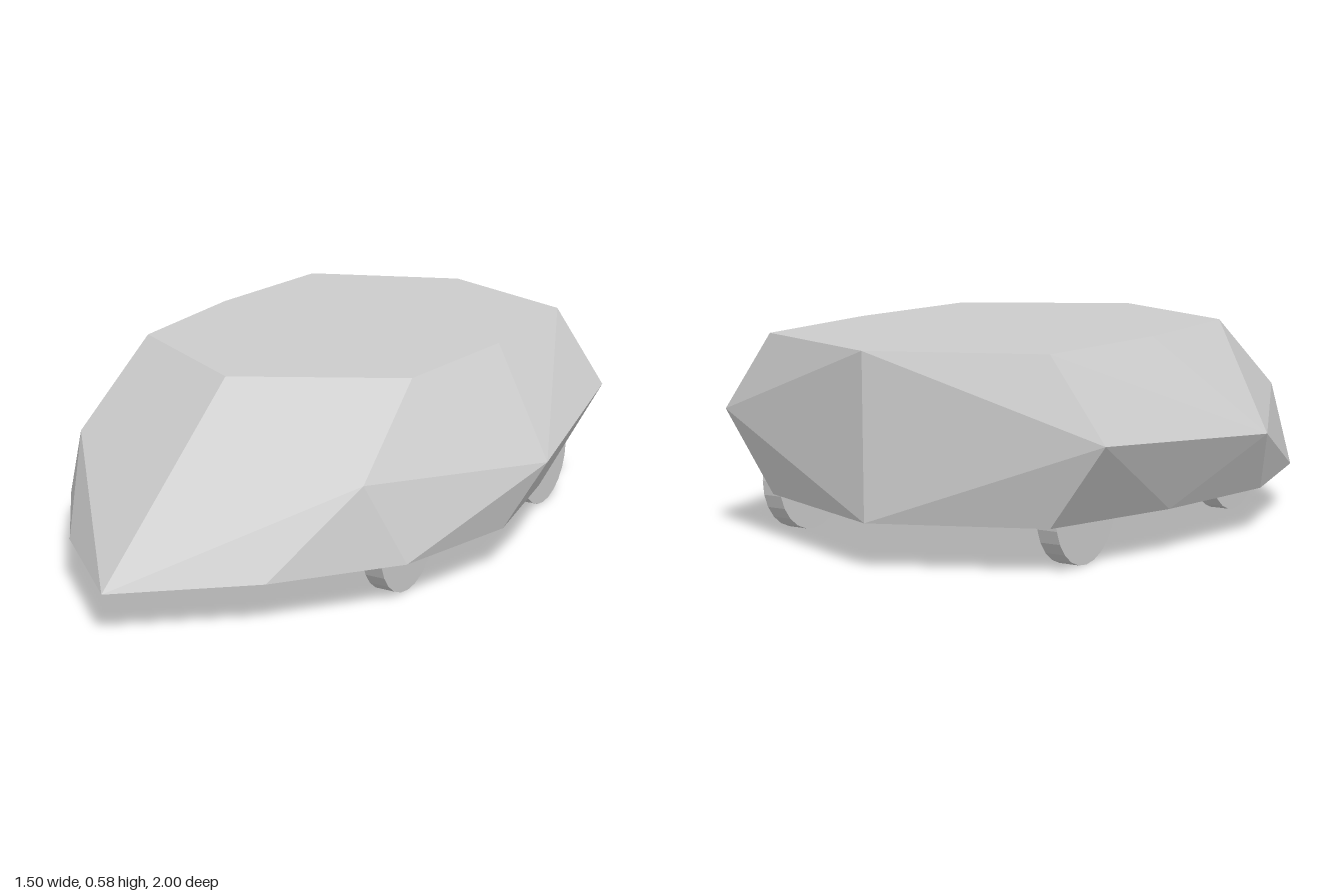
import * as THREE from 'three';
import { ConvexGeometry } from 'three/addons/geometries/ConvexGeometry.js';

const TOP = 0.585, BASE = 0.13;

// Right-hand half outlines as [x, y, z], mirrored to make the whole hull
const roof = [[0, TOP, 0.4], [0.455, TOP, 0.14], [0.49, TOP, -0.33], [0.455, TOP, -0.81], [0, TOP, -1]];
const waist = [[0.48, 0.36, 0.45], [0.75, 0.31, -0.14], [0.62, 0.36, -0.81]];
const floor = [[0, BASE, 1], [0.33, BASE, 0.71], [0.58, BASE, 0.38], [0.673, BASE, -0.02],
  [0.595, BASE, -0.42], [0.455, BASE, -0.81], [0, BASE, -1]];

export function createModel() {
  const model = new THREE.Group();
  model.name = 'car';
  const material = new THREE.MeshStandardMaterial({ color: 0xcccccc, flatShading: true });

  // Faceted body shell
  const points = [];
  for (const [x, y, z] of [...roof, ...waist, ...floor]) {
    points.push(new THREE.Vector3(x, y, z));
    if (x > 0) points.push(new THREE.Vector3(-x, y, z));
  }
  const body = new THREE.Mesh(new ConvexGeometry(points), material);
  body.name = 'body';
  model.add(body);

  // Four thin wheels, all set slightly towards +x
  const radius = 0.157;
  const wheelGeometry = new THREE.CylinderGeometry(radius, radius, 0.06, 24).rotateZ(Math.PI / 2);
  for (const [end, z] of [['front', 0.255], ['rear', -0.625]]) {
    for (const [side, x] of [['Left', 0.485], ['Right', -0.425]]) {
      const wheel = new THREE.Mesh(wheelGeometry, material);
      wheel.name = `${end}${side}Wheel`;
      wheel.position.set(x, radius, z);
      model.add(wheel);
    }
  }
  return model;
}
